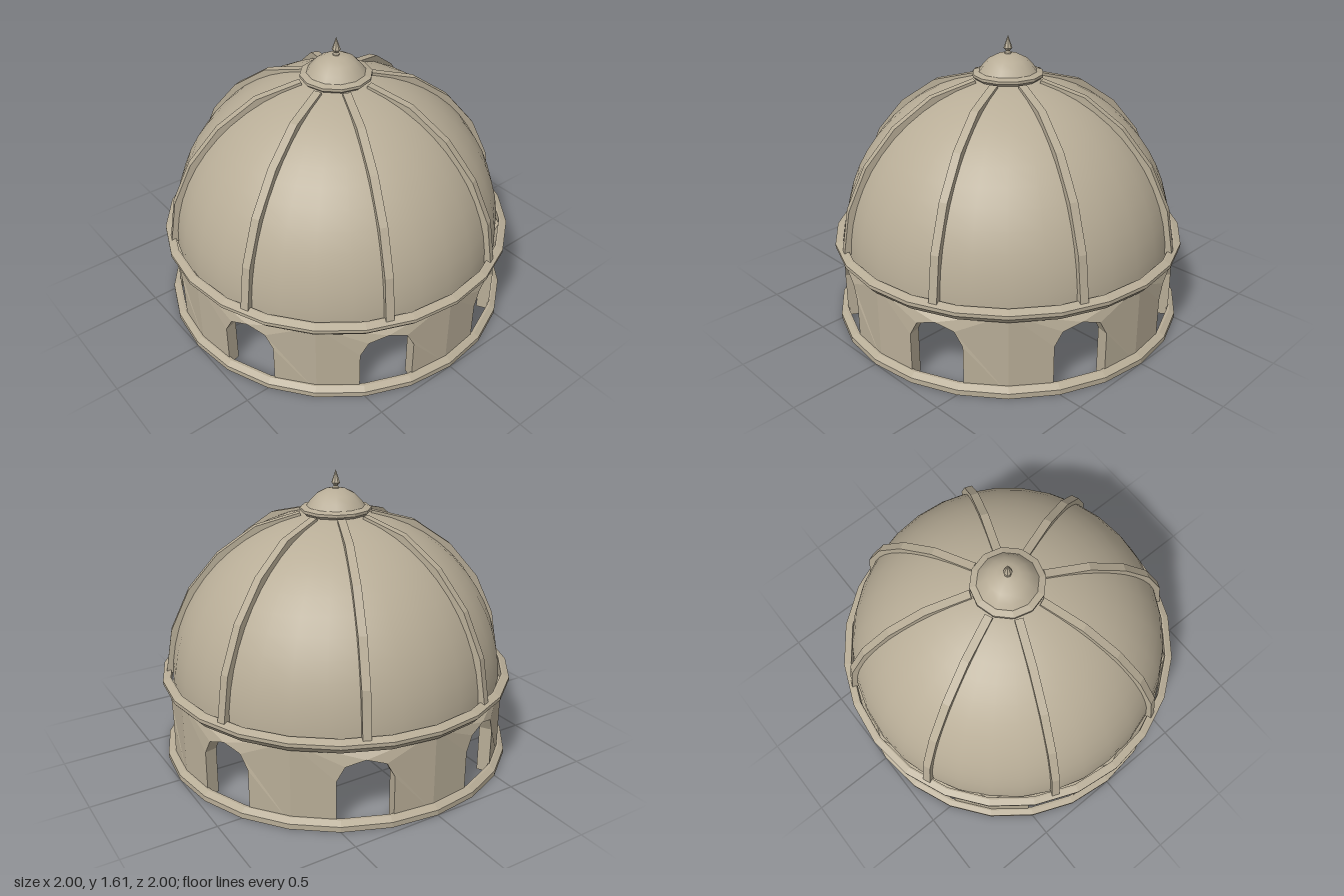
import * as THREE from 'three';

const stone = new THREE.MeshStandardMaterial({ color: 0xb8ad97, side: THREE.DoubleSide });
stone.name = 'pale stone';

const deg = THREE.MathUtils.degToRad;
const vecs = (pts) => pts.map(([x, y]) => new THREE.Vector2(x, y));

function part(name, geometry, parent) {
  const mesh = new THREE.Mesh(geometry, stone);
  mesh.name = name;
  parent.add(mesh);
  return mesh;
}

// Give every face its own flat normal
function faceted(geometry) {
  const g = geometry.index ? geometry.toNonIndexed() : geometry;
  g.computeVertexNormals();
  return g;
}

const turned = (pts, sides) => faceted(new THREE.LatheGeometry(vecs(pts), sides));

// One eighth of the drum: an arched panel drawn as (angle, height), then wrapped round the axis
function archPanel() {
  const mid = deg(22.5), half = deg(8.8), top = 0.47, spring = 0.265, rise = 0.115;
  const pts = [[0, 0], [mid - half, 0]];
  for (let i = 0; i <= 4; i++) {
    const a = Math.PI * (1 - i / 4);
    pts.push([mid + half * Math.cos(a), spring + rise * Math.sin(a)]);
  }
  pts.push([mid + half, 0], [deg(45), 0], [deg(45), top], [0, top]);
  const g = new THREE.ExtrudeGeometry(new THREE.Shape(vecs(pts)), { depth: 0.07, bevelEnabled: false });
  const p = g.attributes.position;
  for (let i = 0; i < p.count; i++) {
    const angle = p.getX(i), r = 0.89 + p.getZ(i);
    p.setXYZ(i, r * Math.sin(angle), p.getY(i), r * Math.cos(angle));
  }
  return faceted(g);
}

// Curved rib in the radius-height plane
function ribGeometry() {
  const outer = [], inner = [], steps = 5;
  for (let i = 0; i <= steps; i++) {
    const a = deg(2 + (76 * i) / steps);
    const r = i === steps ? 0.955 : 0.975;
    outer.push([r * Math.cos(a), 0.45 + r * Math.sin(a)]);
    inner.unshift([0.91 * Math.cos(a), 0.45 + 0.91 * Math.sin(a)]);
  }
  const g = new THREE.ExtrudeGeometry(new THREE.Shape(vecs([...outer, ...inner])), { depth: 0.045, bevelEnabled: false });
  g.translate(0, 0, -0.0225);
  return faceted(g);
}

export function createModel() {
  const model = new THREE.Group();
  model.name = 'domedRotunda';

  // Base and cornice rings
  part('baseRing', turned([[0.955, 0], [1, 0], [1, 0.03], [0.97, 0.05], [0.955, 0.05], [0.955, 0]], 24), model);
  part('cornice', turned([[0.955, 0.43], [0.97, 0.43], [1, 0.465], [1, 0.485], [0.965, 0.5], [0.955, 0.5], [0.955, 0.43]], 24), model);

  // Arcaded drum and dome ribs
  const drum = new THREE.Group();
  drum.name = 'drum';
  const ribs = new THREE.Group();
  ribs.name = 'ribs';
  model.add(drum, ribs);
  const panel = archPanel(), rib = ribGeometry();
  for (let i = 0; i < 8; i++) {
    part('archPanel', panel, drum).rotation.y = deg(45 * i);
    part('rib', rib, ribs).rotation.y = deg(22.5 + 45 * i);
  }

  // Smooth dome shell
  const dome = new THREE.SphereGeometry(0.94, 32, 14, 0, Math.PI * 2, 0, Math.PI / 2);
  part('dome', dome, model).position.y = 0.45;

  // Lantern cap and finial
  part('lanternCollar', turned([[0, 1.375], [0.18, 1.375], [0.197, 1.39], [0.197, 1.405], [0.165, 1.415], [0, 1.415]], 12), model);
  part('lanternCap', new THREE.LatheGeometry(vecs([[0.165, 1.41], [0.14, 1.445], [0.105, 1.48], [0.06, 1.503], [0, 1.512]]), 12), model);
  part('finial', turned([[0.02, 1.5], [0.018, 1.515], [0.01, 1.522], [0.024, 1.54], [0.012, 1.575], [0, 1.61]], 8), model);

  return model;
}
